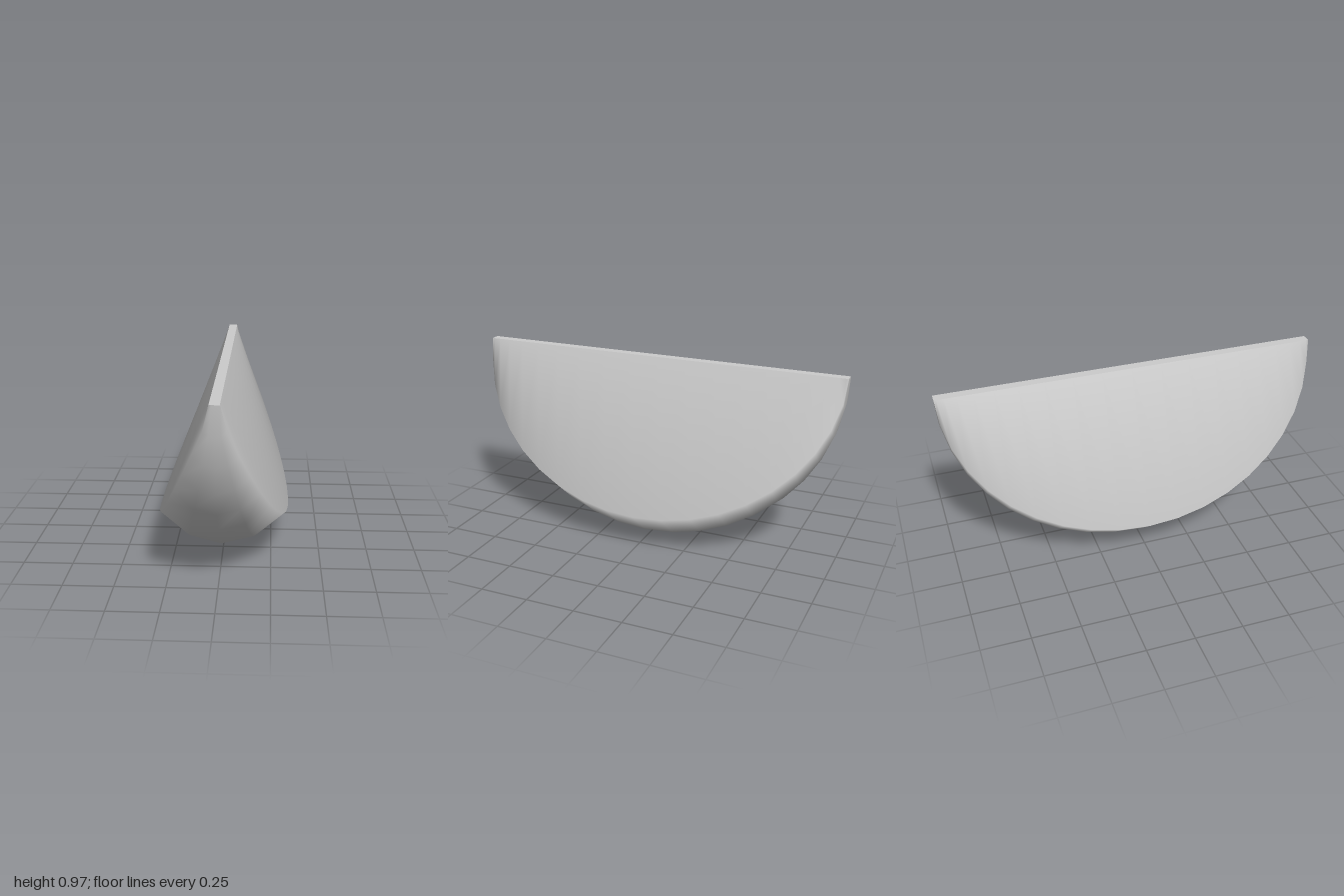
import * as THREE from 'three';

const TOP = 0.97, RIDGE = 0.024, STATIONS = 20;

// Cross-section at one station; s runs from 0 at the tips to 1 in the middle
function section(s) {
  const half = [
    [RIDGE, TOP],                                   // ridge edge
    [Math.max(RIDGE, 0.342 * s), TOP - 0.78 * s],   // widest edge
    [Math.max(RIDGE / 2, 0.18 * s), TOP - 0.92 * s] // lower bevel
  ];
  const mirrored = half.map(([x, y]) => [-x, y]).reverse();
  return [...half, [0, TOP - 0.968 * s], ...mirrored];
}

// Skin lofted along z through half-elliptical meridians
function wedgeSkin() {
  const pos = [], index = [], n = 7;
  for (let i = 0; i <= STATIONS; i++) {
    const a = Math.PI * i / STATIONS;
    for (const [x, y] of section(Math.sin(a))) pos.push(x, y, -Math.cos(a));
  }
  for (let i = 0; i < STATIONS; i++) {
    for (let j = 0; j < n - 1; j++) {
      const a = i * n + j, b = a + n;
      index.push(a, b, a + 1, b, b + 1, a + 1);
    }
  }
  const g = new THREE.BufferGeometry();
  g.setAttribute('position', new THREE.Float32BufferAttribute(pos, 3));
  g.setIndex(index);
  g.computeVertexNormals();
  return g;
}

export function createModel() {
  const group = new THREE.Group();
  group.name = 'wedge';
  const material = new THREE.MeshStandardMaterial({ color: 0xcccccc });

  // Sides and rounded underside
  const skin = new THREE.Mesh(wedgeSkin(), material);
  skin.name = 'wedgeBody';

  // Narrow flat strip along the top
  const strip = new THREE.Mesh(new THREE.PlaneGeometry(2 * RIDGE, 2).rotateX(-Math.PI / 2), material);
  strip.position.y = TOP;
  strip.name = 'topStrip';

  group.add(skin, strip);
  return group;
}
